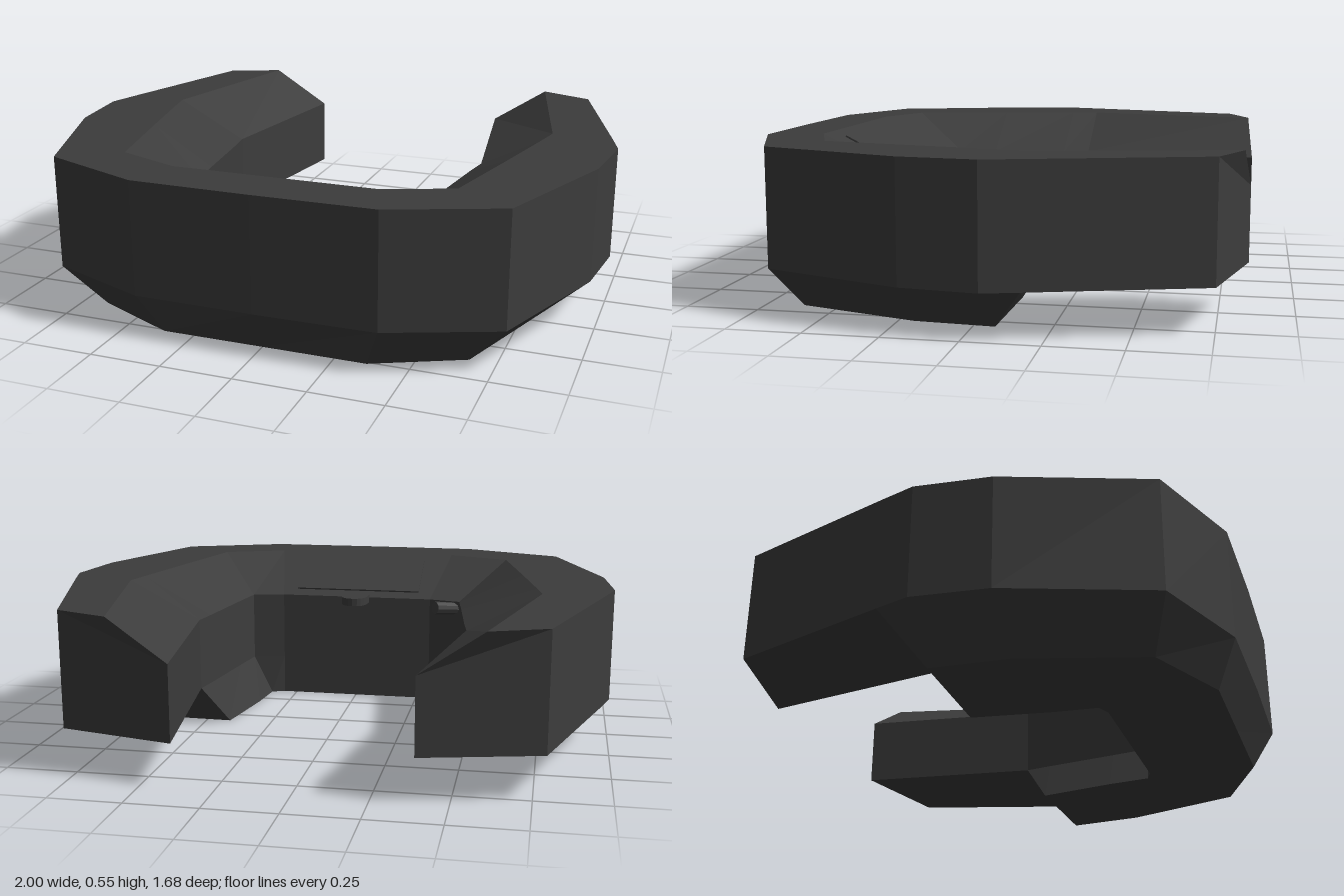
import * as THREE from 'three';

const material = new THREE.MeshStandardMaterial({ color: 0x3c3c3c, flatShading: true });

// Cross-sections from front centre to the tip of the left arm.
// Each has [x, z] for: outer wall, top crease, inner wall, inner foot, outer foot, and the foot height.
const LOW = 0.15, TOP = 0.55, LIP = 0.41;
const half = [
  [[0, 0.84], [0, 0.65], [0, 0.375], [0, 0.375], [0, 0.76], 0],
  [[0.42, 0.835], [0.36, 0.65], [0.30, 0.375], [0.30, 0.375], [0.36, 0.76], 0],
  [[0.79, 0.69], [0.59, 0.56], [0.42, 0.345], [0.35, 0.355], [0.66, 0.62], 0],
  [[0.97, 0.20], [0.67, 0.20], [0.44, 0.20], [0.365, 0.20], [0.79, 0.20], 0],
  [[1.0, -0.06], [0.73, -0.08], [0.475, -0.08], [0.41, -0.08], [0.81, -0.07], 0],
  [[0.965, -0.18], [0.75, -0.18], [0.49, -0.18], [0.49, -0.18], [0.965, -0.18], LOW],
  [[0.79, -0.75], [0.60, -0.825], [0.39, -0.845], [0.39, -0.845], [0.79, -0.75], LOW],
];

function ring([outer, crease, inner, innerFoot, outerFoot, footY], side) {
  const p = ([x, z], y) => new THREE.Vector3(side * x, y, z);
  return [
    p(outer, TOP), p(crease, TOP), p(inner, LIP), p(inner, LOW),
    p(innerFoot, footY), p(outerFoot, footY), p(outer, LOW),
  ];
}

// Loft the sections into a closed, faceted horseshoe
function collarGeometry() {
  const rings = [
    ...half.slice(1).reverse().map((s) => ring(s, -1)),
    ...half.map((s) => ring(s, 1)),
  ];
  const points = [];
  const tri = (a, b, c) => {
    const area = b.clone().sub(a).cross(c.clone().sub(a)).length();
    if (area > 1e-6) points.push(a, b, c);
  };
  for (let s = 0; s < rings.length - 1; s++) {
    const r = rings[s], n = rings[s + 1];
    for (let k = 0; k < r.length; k++) {
      const j = (k + 1) % r.length;
      tri(r[k], n[k], n[j]);
      tri(r[k], n[j], r[j]);
    }
  }
  // Arm tips
  const first = rings[0], last = rings[rings.length - 1];
  for (let k = 1; k < first.length - 1; k++) {
    tri(first[0], first[k], first[k + 1]);
    tri(last[0], last[k + 1], last[k]);
  }
  const geometry = new THREE.BufferGeometry().setFromPoints(points);
  geometry.computeVertexNormals();
  return geometry;
}

export function createModel() {
  const model = new THREE.Group();
  const add = (name, geometry) => {
    const mesh = new THREE.Mesh(geometry, material);
    mesh.name = name;
    model.add(mesh);
    return mesh;
  };

  add('collarBody', collarGeometry());

  // Shallow panel on the sloped front bevel
  const panel = add('frontPanel', new THREE.BoxGeometry(0.5, 0.012, 0.22));
  panel.position.set(0, 0.479, 0.51);
  panel.rotation.x = -Math.atan2(TOP - LIP, 0.275);

  // Rounded tab at the middle of the inner edge
  const tab = new THREE.Shape();
  tab.moveTo(-0.055, -0.03);
  tab.lineTo(0.055, -0.03);
  tab.lineTo(0.05, 0.05);
  tab.quadraticCurveTo(0.04, 0.095, 0, 0.095);
  tab.quadraticCurveTo(-0.04, 0.095, -0.05, 0.05);
  const tabGeometry = new THREE.ExtrudeGeometry(tab, { depth: 0.03, bevelEnabled: false, curveSegments: 4 });
  tabGeometry.rotateX(-Math.PI / 2);
  add('latchTab', tabGeometry).position.set(0, 0.39, 0.375);

  // Small peg in the right inner corner, pointing diagonally inwards
  const peg = add('cornerPeg', new THREE.CylinderGeometry(0.025, 0.025, 0.11, 10));
  peg.position.set(-0.37, 0.385, 0.335);
  peg.quaternion.setFromUnitVectors(
    new THREE.Vector3(0, 1, 0), new THREE.Vector3(0.7, 0.1, -0.6).normalize());

  return model;
}
